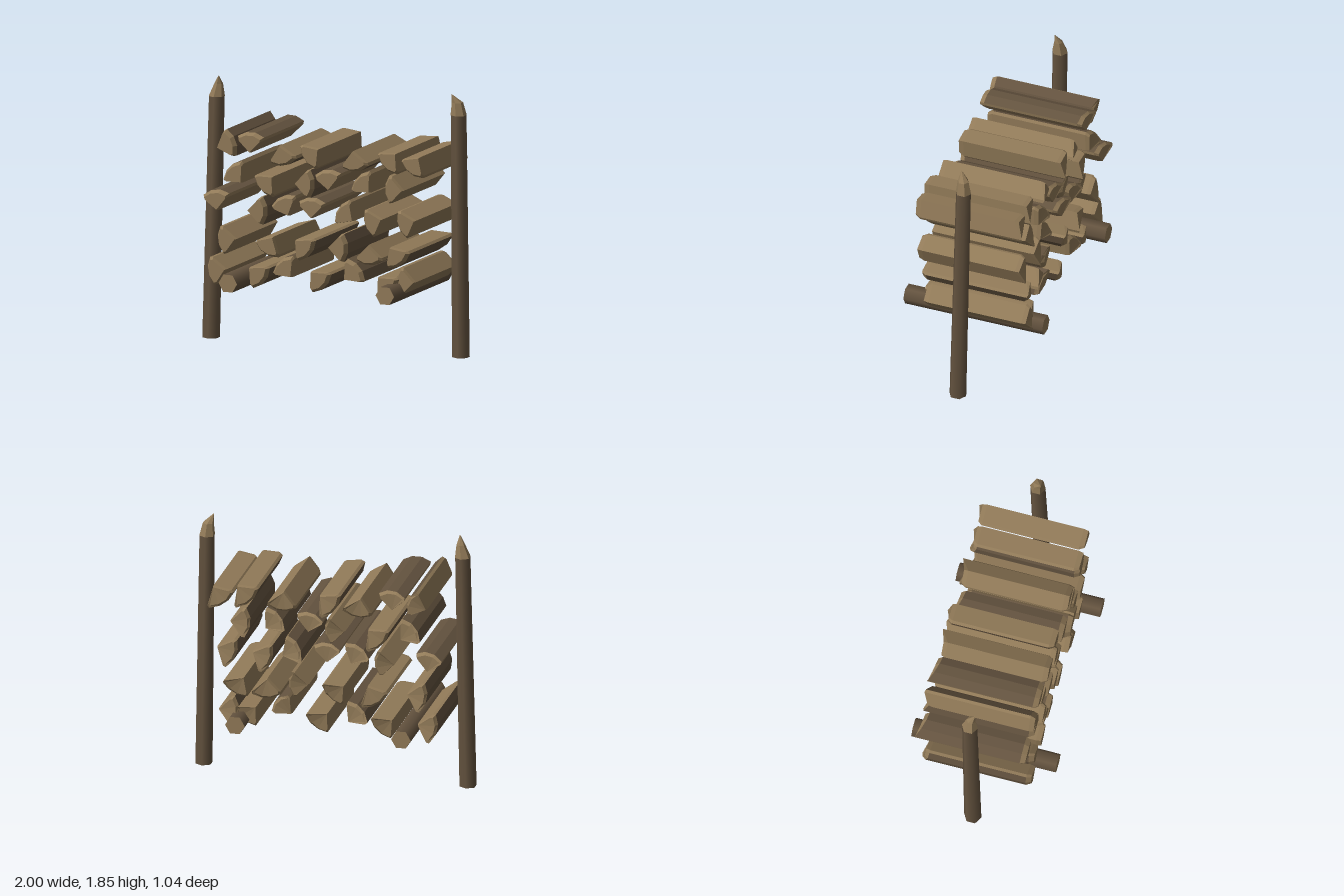
import * as THREE from 'three';

const bark = new THREE.MeshStandardMaterial({ color: 0x64533f });
bark.name = 'bark';
const wood = new THREE.MeshStandardMaterial({ color: 0x917a58 });
wood.name = 'split wood';

// Faceted skin over matching rings, closed at both ends; isBark(ring, side) picks the material
function loft(rings, isBark = () => false) {
  const barkTris = [], woodTris = [];
  const n = rings[0].length;
  for (let r = 0; r < rings.length - 1; r++) {
    for (let i = 0; i < n; i++) {
      const j = (i + 1) % n, a = rings[r], b = rings[r + 1];
      (isBark(r, i) ? barkTris : woodTris).push(a[i], b[i], b[j], a[i], b[j], a[j]);
    }
  }
  const first = rings[0], last = rings[rings.length - 1];
  for (let i = 1; i < n - 1; i++) {
    woodTris.push(first[0], first[i], first[i + 1], last[0], last[i + 1], last[i]);
  }
  const geo = new THREE.BufferGeometry().setFromPoints([...woodTris, ...barkTris]);
  geo.addGroup(0, woodTris.length, 0);
  geo.addGroup(woodTris.length, barkTris.length, 1);
  geo.computeVertexNormals();
  return geo;
}

// Quarter-split log: point at the origin, curved bark side towards +x
function logGeometry() {
  const polar = [[0, 0], [-46, 0.132], [-41, 0.15], [-14, 0.147], [14, 0.147], [41, 0.15], [46, 0.132]];
  const ring = (scale, z, spike) => polar.map(([deg, r]) => {
    const a = THREE.MathUtils.degToRad(deg);
    const k = r ? ((deg + 46) / 92) ** 2 : 0;
    return new THREE.Vector3(0.04 + (r * Math.cos(a) - 0.04) * scale, r * Math.sin(a) * scale, z - spike * k);
  });
  return loft(
    [ring(0.82, 0.37, 0), ring(1, 0.335, 0), ring(1, -0.36, 0.065), ring(0.84, -0.39, 0.03)],
    (r, i) => r === 1 && i >= 2 && i <= 4
  );
}

// Each log: x and y of its point, direction of its bark side in degrees, shift along z
const logs = [
  [-0.743, 1.415, 22, 0.01], [-0.497, 1.393, 90, 0], [-0.273, 1.463, -77, 0], [0.021, 1.457, 218, -0.01],
  [0.278, 1.463, -82, 0], [0.615, 1.473, 228, 0.01], [0.786, 1.457, 236, 0],
  [-0.556, 1.179, 135, 0], [-0.326, 1.238, 225, -0.01], [-0.16, 1.206, 0, 0], [0.105, 1.174, 97, 0.01],
  [0.412, 1.179, 135, 0], [0.663, 1.211, 180, 0],
  [-0.754, 0.965, 97, -0.02], [-0.513, 0.992, 0, 0.01], [-0.203, 0.97, 115, 0], [-0.032, 0.965, 90, 0],
  [0.299, 0.976, 146, 0.03], [0.503, 0.997, 200, 0], [0.759, 1.008, 200, 0.01],
  [-0.599, 0.778, 188, 0.01], [-0.321, 0.815, 241, 0], [-0.155, 0.805, -40, 0], [0.107, 0.778, 0, 0.03],
  [0.396, 0.81, -88, 0], [0.561, 0.805, -55, 0],
  [-0.674, 0.559, 190, 0.01], [-0.503, 0.586, -40, 0], [-0.182, 0.537, 130, 0], [-0.037, 0.591, -46, 0],
  [0.225, 0.554, 42, 0.02], [0.476, 0.591, -45, 0.01], [0.738, 0.564, 180, -0.03]
];

// Leaning six-sided post with a whittled, bent point
function makePost(side) {
  const group = new THREE.Group();
  group.name = side < 0 ? 'rightPost' : 'leftPost';
  const height = 1.7;
  const geo = new THREE.CylinderGeometry(0.055, 0.062, height, 6);
  geo.translate(0, height / 2, 0);
  const p = geo.attributes.position;
  for (let i = 0; i < p.count; i++) {
    const t = p.getY(i) / height;
    p.setX(i, p.getX(i) + side * (0.945 - 0.03 * t));
    p.setZ(i, p.getZ(i) - 0.03 * t);
  }
  const shaft = new THREE.Mesh(geo, [bark, wood, wood]);
  shaft.name = 'postShaft';

  const ring = (x, y, z, r) => Array.from({ length: 6 }, (_, i) => {
    const a = Math.PI / 2 + i * Math.PI / 3;
    return new THREE.Vector3(x + r * Math.cos(a), y, z - r * Math.sin(a));
  });
  const [tipX, midX, midR] = side < 0 ? [-0.888, -0.899, 0.031] : [0.875, 0.908, 0.04];
  const tip = new THREE.Mesh(
    loft([ring(tipX, 1.85, 0, 0.002), ring(midX, 1.79, -0.025, midR), ring(side * 0.915, height, -0.03, 0.057)]),
    [wood, bark]
  );
  tip.name = 'postPoint';
  group.add(shaft, tip);
  return group;
}

export function createModel() {
  const model = new THREE.Group();
  model.name = 'firewoodRack';

  // Stacked firewood
  const stack = new THREE.Group();
  stack.name = 'firewoodStack';
  const logGeo = logGeometry();
  logs.forEach(([x, y, deg, dz]) => {
    const log = new THREE.Mesh(logGeo, [wood, bark]);
    log.name = 'splitLog';
    log.position.set(x, y, dz);
    log.rotation.z = THREE.MathUtils.degToRad(deg);
    stack.add(log);
  });
  model.add(stack);

  // Posts and the beams under the stack
  const beamGeo = new THREE.CylinderGeometry(0.07, 0.07, 1.036, 6);
  beamGeo.rotateY(Math.PI / 2).rotateX(Math.PI / 2);
  for (const side of [-1, 1]) {
    model.add(makePost(side));
    const beam = new THREE.Mesh(beamGeo, [bark, wood, wood]);
    beam.name = side < 0 ? 'rightBeam' : 'leftBeam';
    beam.position.set(side * 0.594, 0.492, 0);
    model.add(beam);
  }
  return model;
}
